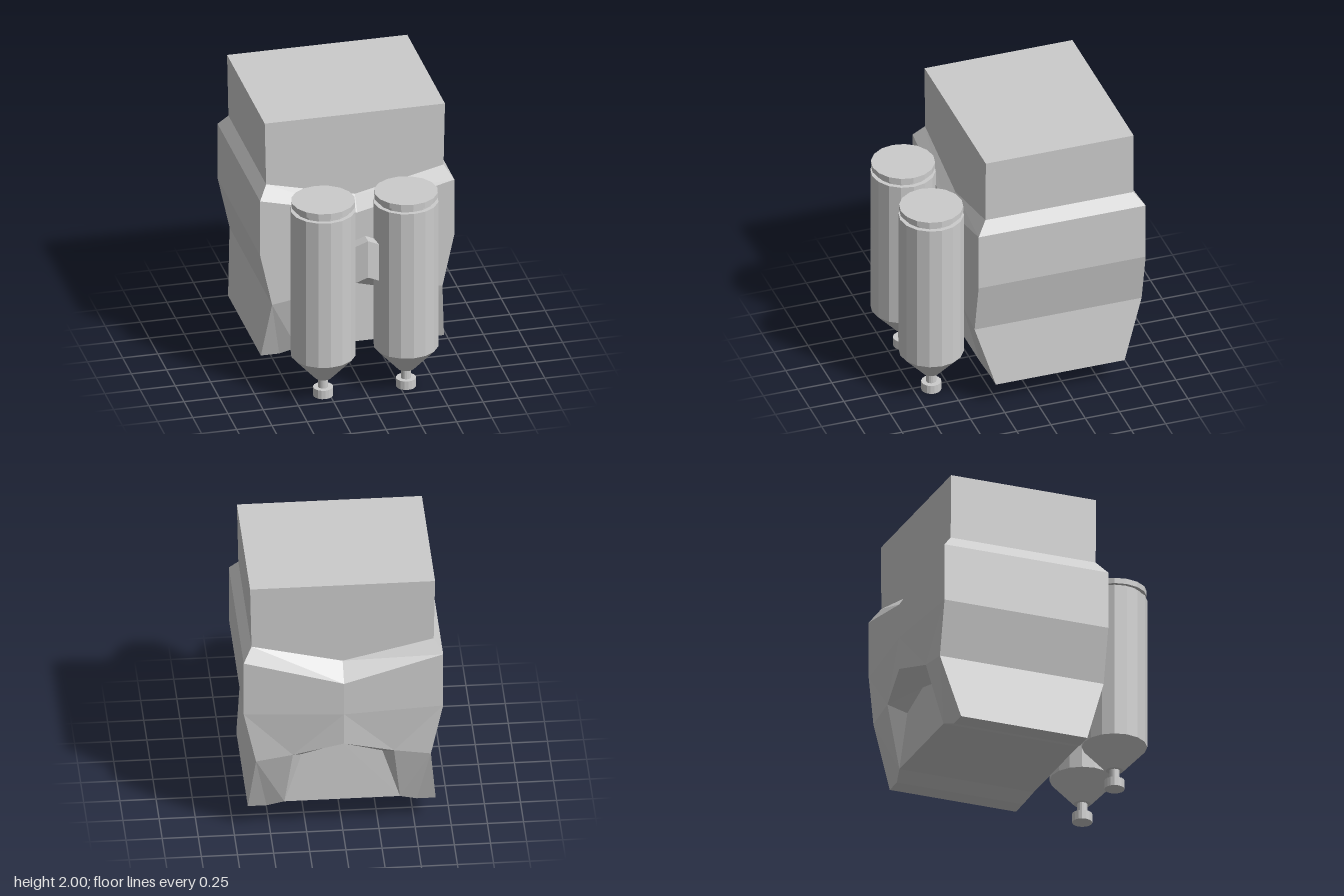
import * as THREE from 'three';

const material = new THREE.MeshStandardMaterial({ color: 0xcccccc, flatShading: true });

// One half (x >= 0) of an end face: [x, y, inset from the end plane]; b is the bulge along the centre line
const halfEnd = (b) => [
  [0.64, 2, 0.07], [0.63, 1.53, 0.07], [0.69, 1.44, 0], [0.69, 1.02, 0], [0.605, 0.63, 0],
  [0.65, 0.175, 0.14], [0.52, 0.175, 0.14], [0.4, 0.22, 0.11], [0.28, 0.595, 0.12], [0.35, 0.67, 0],
  [0, 2, 0.07], [0, 1.38, 0.07], [0, 1.27, -b], [0, 1.02, -b], [0, 0.78, -b], [0, 0.67, 0.12], [0, 0.22, 0.11],
];

// Panels of the half end face: neck, sloped collar, chest, arched recess, pillar
const panels = [
  [10, 11, 1, 0], [11, 12, 2, 1], [12, 13, 3, 2], [13, 9, 3], [13, 14, 9], [3, 9, 4],
  [14, 15, 8, 9], [15, 16, 7, 8], [9, 8, 7], [4, 9, 7], [4, 7, 6], [4, 6, 5],
];

// Outline from top centre, down the side, to bottom centre
const outline = [10, 0, 1, 2, 3, 4, 5, 6, 7, 16];

function createBody() {
  const pos = [];
  const addPolygon = (points, flip) => {
    const p = flip ? [...points].reverse() : points;
    for (let i = 1; i < p.length - 1; i++) pos.push(...p[0], ...p[i], ...p[i + 1]);
  };
  for (const sx of [1, -1]) {
    const front = halfEnd(0).map(([x, y, d]) => [sx * x, y, 0.42 - d]);
    const back = halfEnd(0.055).map(([x, y, d]) => [sx * x, y, -0.8 + d]);
    for (const panel of panels) {
      addPolygon(panel.map((i) => front[i]), sx < 0);
      addPolygon(panel.map((i) => back[i]), sx > 0);
    }
    // Top, side and underside join the two ends
    for (let k = 0; k < outline.length - 1; k++) {
      const a = outline[k], b = outline[k + 1];
      addPolygon([front[a], front[b], back[b], back[a]], sx < 0);
    }
  }
  const geometry = new THREE.BufferGeometry();
  geometry.setAttribute('position', new THREE.Float32BufferAttribute(pos, 3));
  geometry.computeVertexNormals();
  const mesh = new THREE.Mesh(geometry, material);
  mesh.name = 'body';
  return mesh;
}

// Upright tank with nozzle, cone, barrel, groove and lid
function createTank(name, x) {
  const profile = [
    [0, 0], [0.07, 0], [0.07, 0.065], [0.035, 0.065], [0.035, 0.14], [0.06, 0.14],
    [0.226, 0.32], [0.226, 1.435], [0.195, 1.435], [0.195, 1.465],
    [0.222, 1.465], [0.222, 1.505], [0, 1.505],
  ].map(([r, y]) => new THREE.Vector2(r, y));
  const mesh = new THREE.Mesh(new THREE.LatheGeometry(profile, 16), material);
  mesh.name = name;
  mesh.position.set(x, 0, 0.628);
  return mesh;
}

// Bracket between the tanks: a box bent down and back away from its middle
function createBracket() {
  const geometry = new THREE.BoxGeometry(0.24, 0.28, 0.085, 2, 1, 1);
  const p = geometry.attributes.position;
  for (let i = 0; i < p.count; i++) {
    const away = Math.abs(p.getX(i));
    p.setY(i, p.getY(i) - 0.55 * away);
    p.setZ(i, p.getZ(i) - 0.28 * away);
  }
  geometry.computeVertexNormals();
  const mesh = new THREE.Mesh(geometry, material);
  mesh.name = 'tankBracket';
  mesh.position.set(0, 1.06, 0.687);
  return mesh;
}

export function createModel() {
  const model = new THREE.Group();
  model.name = 'tankBackpack';
  model.add(createBody(), createTank('leftTank', 0.294), createTank('rightTank', -0.294), createBracket());
  return model;
}
